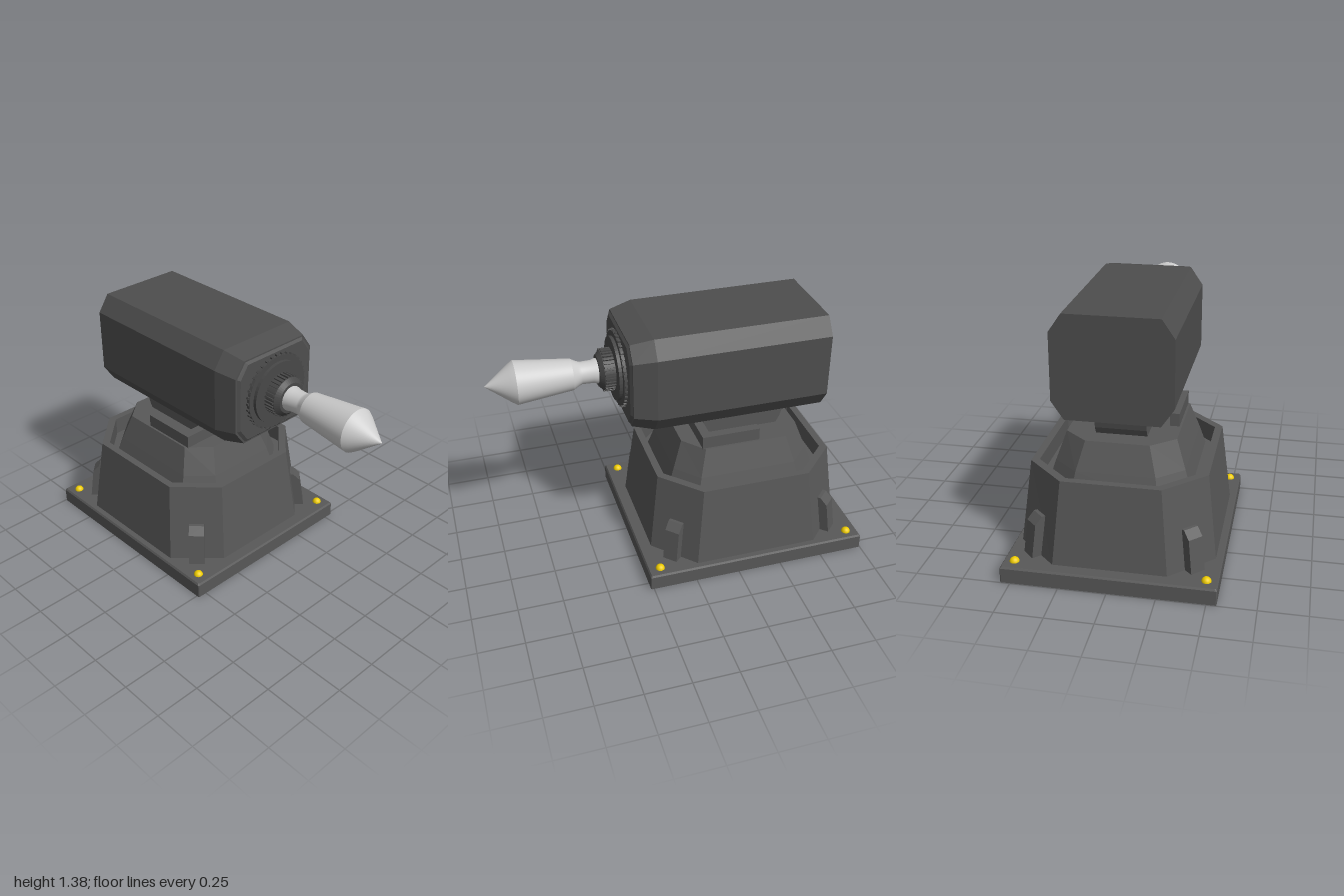
import * as THREE from 'three';

const mat = (color, flat = true) => new THREE.MeshStandardMaterial({ color, flatShading: flat });
const baseMat = mat(0x585858), headMat = mat(0x4e4e4e), ringMat = mat(0x484848);
const barrelMat = mat(0xcccccc, false), boltMat = mat(0xeecc00, false);

// Skin through chamfered rectangles: [y, halfX, halfZ, flatHalfX, flatHalfZ]
function loft(sections) {
  const rings = sections.map(([y, hx, hz, fx, fz]) => [
    [hx, y, -fz], [hx, y, fz], [fx, y, hz], [-fx, y, hz],
    [-hx, y, fz], [-hx, y, -fz], [-fx, y, -hz], [fx, y, -hz]]);
  const pos = [];
  const tri = (...pts) => pts.forEach(p => pos.push(...p));
  const last = rings.length - 1;
  const bottom = [0, sections[0][0], 0], top = [0, sections[last][0], 0];
  for (let j = 0; j < 8; j++) {
    const k = (j + 1) % 8;
    for (let i = 0; i < last; i++) {
      const a = rings[i][j], b = rings[i][k], c = rings[i + 1][k], d = rings[i + 1][j];
      tri(a, c, b);
      tri(a, d, c);
    }
    tri(bottom, rings[0][j], rings[0][k]);
    tri(top, rings[last][k], rings[last][j]);
  }
  const g = new THREE.BufferGeometry();
  g.setAttribute('position', new THREE.Float32BufferAttribute(pos, 3));
  g.computeVertexNormals();
  return g;
}

export function createModel() {
  const model = new THREE.Group();
  model.name = 'turret';
  const add = (name, geo, material, x = 0, y = 0, z = 0, parent = model) => {
    const m = new THREE.Mesh(geo, material);
    m.name = name;
    m.position.set(x, y, z);
    parent.add(m);
    return m;
  };
  const cx = -0.365;

  // Base plate with a slightly eased top edge
  add('basePlate', loft([
    [0, 0.632, 0.552, 0.628, 0.548],
    [0.08, 0.632, 0.552, 0.628, 0.548],
    [0.09, 0.625, 0.545, 0.62, 0.54]]), baseMat, cx);

  // Lower housing with a raised rim around a recess
  add('lowerHousing', loft([
    [0.085, 0.562, 0.515, 0.35, 0.295],
    [0.54, 0.508, 0.462, 0.305, 0.255],
    [0.54, 0.468, 0.422, 0.285, 0.235],
    [0.44, 0.468, 0.422, 0.285, 0.235]]), baseMat, cx);

  // Upper housing
  add('upperHousing', loft([
    [0.42, 0.435, 0.375, 0.3, 0.225],
    [0.54, 0.395, 0.338, 0.275, 0.205],
    [0.69, 0.34, 0.287, 0.235, 0.165]]), baseMat, cx + 0.005);

  // U-shaped guide around the pivot
  const guide = new THREE.Group();
  guide.name = 'pivotGuide';
  model.add(guide);
  for (const s of [1, -1])
    add('guideRail', new THREE.BoxGeometry(0.33, 0.09, 0.05), baseMat, -0.275, 0.715, s * 0.25, guide);
  add('guideCrossbar', new THREE.BoxGeometry(0.05, 0.09, 0.45), baseMat, -0.135, 0.715, 0, guide);

  // Round pivot carrying the head
  const pivot = add('pivot', new THREE.CylinderGeometry(0.24, 0.24, 0.268, 32), baseMat, -0.392, 0.82, 0);
  pivot.rotation.x = Math.PI / 2;

  // Corner braces on the chamfers, and bolts on the plate corners
  const braceShape = new THREE.Shape([
    [-0.08, 0.085], [0.052, 0.085], [0.025, 0.27], [-0.015, 0.31], [-0.08, 0.31],
  ].map(p => new THREE.Vector2(...p)));
  const braceGeo = new THREE.ExtrudeGeometry(braceShape, { depth: 0.085, bevelEnabled: false });
  braceGeo.translate(0, 0, -0.0425);
  const boltGeo = new THREE.SphereGeometry(0.026, 16, 6, 0, Math.PI * 2, 0, Math.PI / 2);
  for (const sx of [1, -1]) for (const sz of [1, -1]) {
    const brace = add('cornerBrace', braceGeo, baseMat, cx + sx * 0.456, 0, sz * 0.405);
    brace.rotation.y = Math.atan2(-sz, sx);
    add('bolt', boltGeo, boltMat, cx + sx * 0.563, 0.088, sz * 0.492);
  }

  // Head: everything in this group runs along its own y axis, turned to +x
  const head = new THREE.Group();
  head.name = 'head';
  head.position.y = 1.115;
  head.rotation.z = -Math.PI / 2;
  model.add(head);
  add('headBody', loft([
    [-0.81, 0.27, 0.305, 0.175, 0.24],
    [0.15, 0.27, 0.305, 0.175, 0.24],
    [0.273, 0.243, 0.275, 0.16, 0.215],
    [0.273, 0.235, 0.265, 0.155, 0.208],
    [0.285, 0.222, 0.25, 0.148, 0.198]]), headMat, 0, 0, 0, head);

  // Stepped muzzle rings and collar
  const disc = (name, r0, r1, y0, y1) =>
    add(name, new THREE.CylinderGeometry(r1, r0, y1 - y0, 48), ringMat, 0, (y0 + y1) / 2, 0, head);
  disc('outerRing', 0.205, 0.205, 0.27, 0.302);
  disc('innerRing', 0.175, 0.175, 0.3, 0.32);
  disc('collar', 0.108, 0.108, 0.31, 0.38);
  disc('collarLip', 0.108, 0.085, 0.38, 0.402);

  // Knurling teeth around the outer ring and the collar
  const teeth = (name, n, r, w, y0, y1) => {
    const geo = new THREE.BoxGeometry(0.02, y1 - y0, w);
    for (let i = 0; i < n; i++) {
      const a = i / n * Math.PI * 2;
      const t = add(name, geo, ringMat, Math.cos(a) * r, (y0 + y1) / 2, Math.sin(a) * r, head);
      t.rotation.y = -a;
    }
  };
  teeth('ringTooth', 36, 0.204, 0.012, 0.275, 0.3);
  teeth('collarRib', 32, 0.107, 0.01, 0.322, 0.378);

  // Barrel: narrow neck swelling to a pointed tip
  const section = pts => new THREE.LatheGeometry(pts.map(p => new THREE.Vector2(...p)), 48);
  add('barrelNeck', section([[0.068, 0.38], [0.068, 0.41], [0.062, 0.43], [0.06, 0.49], [0.068, 0.51], [0.085, 0.54]]),
    barrelMat, 0, 0, 0, head);
  add('barrelBody', section([[0.085, 0.54], [0.118, 0.84]]), barrelMat, 0, 0, 0, head);
  add('barrelTip', section([[0.118, 0.84], [0.1, 0.868], [0, 1]]), barrelMat, 0, 0, 0, head);

  return model;
}
